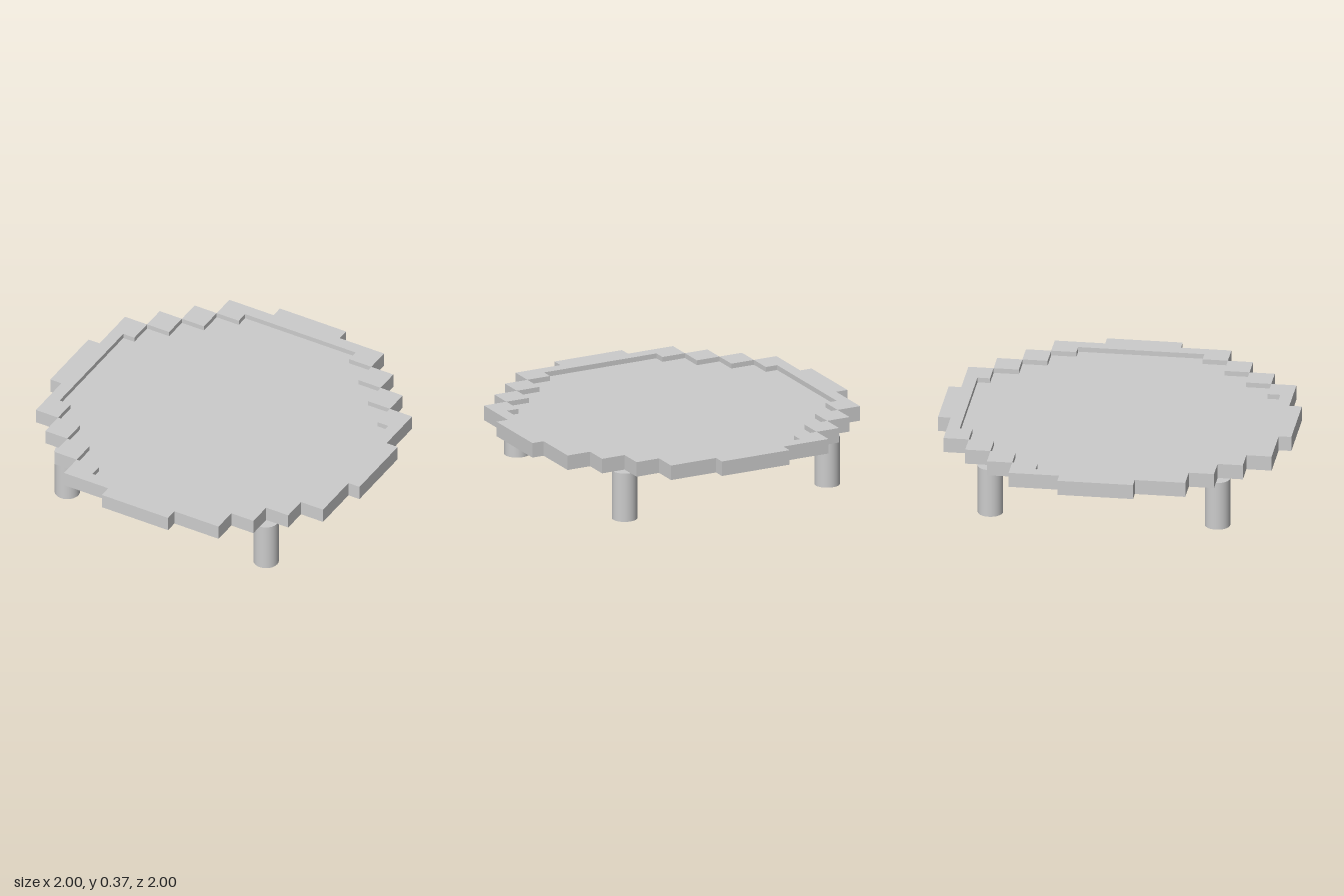
import * as THREE from 'three';

const U = 1 / 14; // grid unit of the stepped outline
const LEG_H = 4 * U, RIM_H = 1.2 * U, PANEL_H = 0.4 * U;

// Mirror a half outline (x > 0) across x = 0 and extrude it upwards from y
function slab(half, y, height, material, name) {
  const mirrored = half.map(([x, z]) => [-x, z]).reverse();
  const pts = [...half, ...mirrored].map(([x, z]) => new THREE.Vector2(x * U, z * U));
  const geo = new THREE.ExtrudeGeometry(new THREE.Shape(pts), { depth: height, bevelEnabled: false });
  geo.rotateX(-Math.PI / 2);
  geo.translate(0, y, 0);
  const mesh = new THREE.Mesh(geo, material);
  mesh.name = name;
  return mesh;
}

export function createModel() {
  const group = new THREE.Group();
  group.name = 'roundTable';
  const grey = new THREE.MeshStandardMaterial({ color: 0xcccccc });
  grey.name = 'plain grey';

  // Recessed stepped panel
  const panel = [
    [5, -12], [5, -11], [7, -11], [7, -9], [9, -9], [9, -7], [11, -7], [11, -5], [12, -5],
    [12, 5], [11, 5], [11, 7], [9, 7], [9, 9], [7, 9], [7, 11], [5, 11], [5, 12],
  ];
  group.add(slab(panel, LEG_H + (RIM_H - PANEL_H) / 2, PANEL_H, grey, 'panel'));

  // Four identical quarters: long rim piece, two corner blocks and a leg
  const rim = [[5, 12], [5, 11], [7, 11], [7, 13], [3, 13], [3, 14]];
  const blockGeo = new THREE.BoxGeometry(2 * U, RIM_H, 2 * U);
  const legGeo = new THREE.CylinderGeometry(U, U, LEG_H, 32);
  for (let i = 0; i < 4; i++) {
    const quarter = new THREE.Group();
    quarter.name = 'quarter' + (i + 1);
    quarter.rotation.y = i * Math.PI / 2;
    quarter.add(slab(rim, LEG_H, RIM_H, grey, 'rimSide'));
    for (const [x, z] of [[8, 10], [10, 8]]) {
      const block = new THREE.Mesh(blockGeo, grey);
      block.name = 'rimBlock';
      block.position.set(x * U, LEG_H + RIM_H / 2, z * U);
      quarter.add(block);
    }
    const leg = new THREE.Mesh(legGeo, grey);
    leg.name = 'leg';
    leg.position.set(9 * U, LEG_H / 2, 9 * U);
    quarter.add(leg);
    group.add(quarter);
  }
  return group;
}
